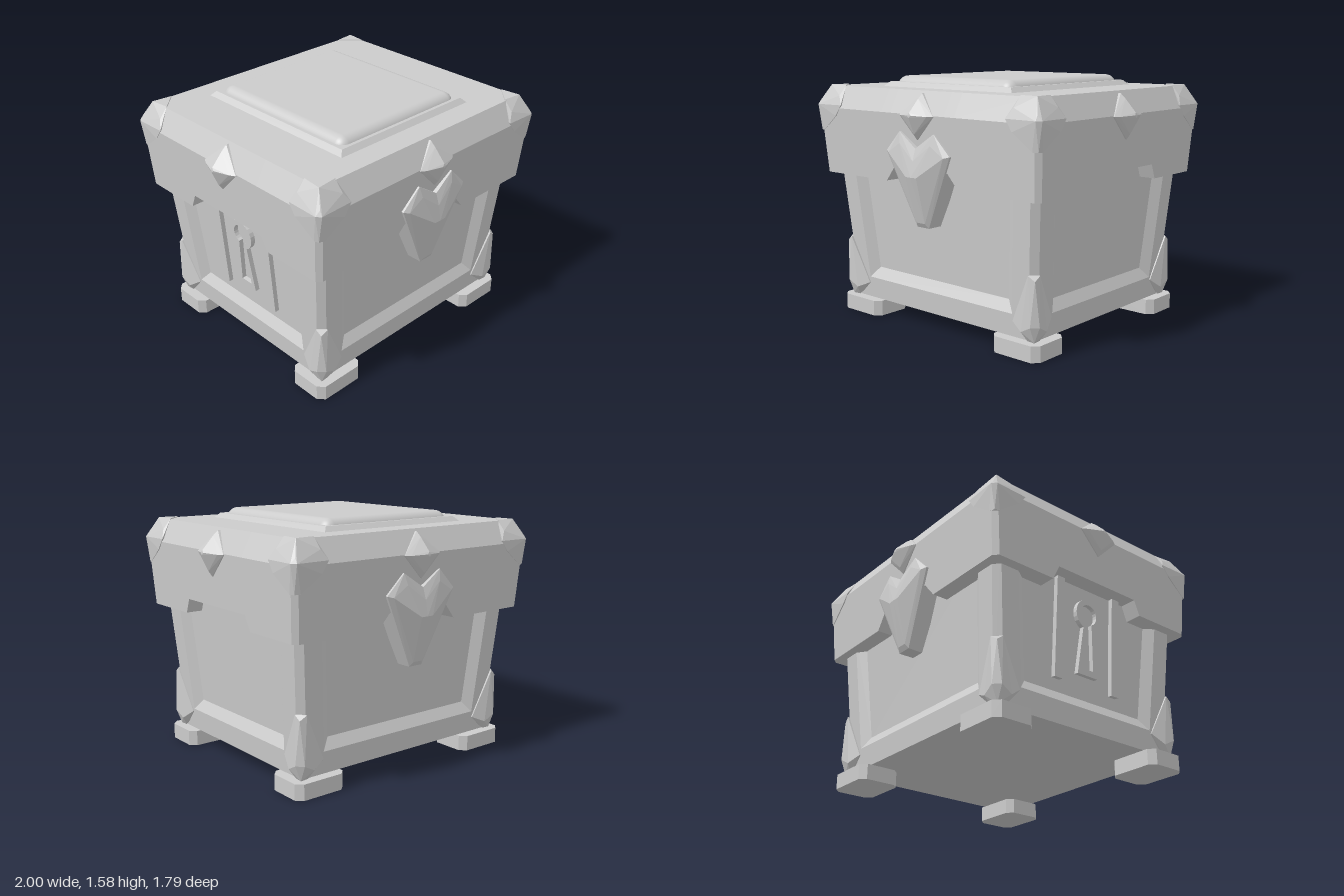
import * as THREE from 'three';
import { ConvexGeometry } from 'three/addons/geometries/ConvexGeometry.js';
import { RoundedBoxGeometry } from 'three/addons/geometries/RoundedBoxGeometry.js';

const material = new THREE.MeshStandardMaterial({ color: 0xcccccc });
const SIDES = [0, 1, 2, 3]; // front, +x, back, -x

// Point on side k: u runs to the right as seen from outside, n is the distance from the centre
const at = (k, u, y, n) => {
  const [x, z] = [[u, n], [n, -u], [-u, -n], [-n, u]][k];
  return new THREE.Vector3(x, y, z);
};

// Flat-shaded skin between successive rows of points
function loft(rows, closed = false) {
  const pos = [];
  const tri = (...pts) => pts.forEach((p) => pos.push(p.x, p.y, p.z));
  for (let r = 0; r + 1 < rows.length; r++) {
    const a = rows[r], b = rows[r + 1], n = a.length;
    for (let i = 0; i < (closed ? n : n - 1); i++) {
      const j = (i + 1) % n;
      tri(a[i], a[j], b[j]);
      tri(a[i], b[j], b[i]);
    }
  }
  const g = new THREE.BufferGeometry();
  g.setAttribute('position', new THREE.Float32BufferAttribute(pos, 3));
  g.computeVertexNormals();
  return g;
}

function add(parent, name, geometry) {
  const mesh = new THREE.Mesh(geometry, material);
  mesh.name = name;
  parent.add(mesh);
  return mesh;
}

function group(parent, name) {
  const g = new THREE.Group();
  g.name = name;
  parent.add(g);
  return g;
}

// Convex solid from [x, y, z] points, mirrored into every corner of the chest
function addCorners(parent, name, pts) {
  for (const sx of [-1, 1]) for (const sz of [-1, 1]) {
    add(parent, name, new ConvexGeometry(pts.map(([x, y, z]) => new THREE.Vector3(x * sx, y, z * sz))));
  }
}

// Flared body with a recessed panel on each side
function buildBody(parent) {
  const body = group(parent, 'body');
  const halfX = (y) => 0.78 + (y - 0.1) * 0.077;
  const halfZ = (y) => 0.675 + (y - 0.1) * 0.08;
  const base = 0.1, top = 1.1, chamfer = 0.04;
  for (const k of SIDES) {
    const width = (y, s) => (s % 2 ? halfZ(y) : halfX(y));
    const point = (sign, y, inset, depth, s = k) =>
      at(s, sign * (width(y, s) - inset), y, width(y, s + 1) - depth);
    const rim = (y, inset, depth) => [[-1, top], [-1, y], [1, y], [1, top]]
      .map(([sign, h]) => point(sign, h, inset, depth));
    const inner = rim(0.31, 0.23, 0.045);
    add(body, 'sideFrame', loft([rim(base, chamfer, 0), rim(0.24, 0.165, 0), inner]));
    add(body, 'sidePanel', loft([[inner[1], inner[2]], [inner[0], inner[3]]]));
    const next = (k + 1) % 4;
    add(body, 'cornerPost', loft([base, top].map((y) =>
      [point(1, y, chamfer, 0), point(-1, y, chamfer, 0, next)])));
  }
  const floor = add(body, 'floor', new THREE.BoxGeometry(1.5, 0.03, 1.29));
  floor.position.y = 0.116;
  const ring = SIDES.flatMap((k) => {
    const [u, n] = k % 2 ? [0.675, 0.78] : [0.78, 0.675];
    return [at(k, -u + chamfer, base, n), at(k, u - chamfer, base, n)];
  });
  add(body, 'underside', loft([ring.map(() => new THREE.Vector3(0, base, 0)), ring], true));
}

// Lid with notched skirt, sloped shoulder and flat top
function buildLid(parent) {
  const lid = group(parent, 'lid');
  const size = (y) => (y <= 1.37
    ? [0.91 + (y - 0.94) * 0.058, 0.80 + (y - 0.94) * 0.074]
    : [0.935 - (y - 1.37) * 0.536, 0.832 - (y - 1.37) * 0.536]);
  // each side: corner, four notch points, corner
  const ring = (yLow, yHigh, inset = 0) => SIDES.flatMap((k) => {
    const [outer, inner] = k % 2 ? [0.365, 0.32] : [0.31, 0.23];
    return [[-1, 0], [-outer, 0], [-inner, 1], [inner, 1], [outer, 0], [1, 0]].map(([u, raised]) => {
      const y = raised ? yHigh : yLow;
      const [w, d] = size(y);
      const half = (k % 2 ? d : w) - 0.03 - inset;
      return at(k, Math.abs(u) === 1 ? u * half : u, y, (k % 2 ? w : d) - inset);
    });
  });
  const topRing = ring(1.51, 1.51);
  const centre = topRing.map(() => new THREE.Vector3(0, 1.51, 0));
  add(lid, 'lidShell', loft(
    [ring(0.94, 1.035, 0.13), ring(0.94, 1.035), ring(1.37, 1.37), topRing, centre], true));

  // Raised frame and soft cushion on top
  const rect = (w, d, y) => SIDES.map((k) => (k % 2 ? at(k, -d, y, w) : at(k, -w, y, d)));
  add(lid, 'topFrame', loft([rect(0.55, 0.605, 1.505), rect(0.515, 0.57, 1.54), rect(0.48, 0.53, 1.54)], true));
  add(lid, 'topCushion', new RoundedBoxGeometry(1.0, 0.14, 1.11, 5, 0.068)).position.y = 1.508;
}

// Faceted gem on the lid edge of each side
function buildGems(parent) {
  for (const k of SIDES) {
    const n = k % 2 ? 0.105 : 0; // x sides stand further out
    const pts = [
      [0, 1.495, 0.72], [0, 1.22, 0.72], [-0.145, 1.365, 0.72], [0.145, 1.365, 0.72],
      [0, 1.495, 0.78], [0, 1.22, 0.828], [-0.145, 1.365, 0.836], [0.145, 1.365, 0.836],
      [0, 1.465, 0.815], [0, 1.255, 0.853], [-0.11, 1.365, 0.856], [0.11, 1.365, 0.856],
      [0, 1.385, 0.89], [0, 1.355, 0.895], [-0.015, 1.37, 0.894], [0.015, 1.37, 0.894],
    ];
    add(parent, 'lidGem', new ConvexGeometry(pts.map(([u, y, d]) => at(k, u, y, d + n))));
  }
}

// Shield-shaped clasp on front and back, made of two mirrored halves
function buildClasps(parent) {
  const half = [
    [0, 1.17, 0.69], [0.145, 1.265, 0.69], [0.27, 1.14, 0.69], [0.05, 0.68, 0.69], [0, 0.68, 0.69],
    [0, 1.17, 0.845], [0.145, 1.265, 0.835], [0.27, 1.14, 0.83], [0.05, 0.68, 0.79], [0, 0.68, 0.79],
    [0, 1.095, 0.87], [0.13, 1.195, 0.853], [0.235, 1.13, 0.85], [0.035, 0.71, 0.81], [0, 0.71, 0.81],
    [0.045, 1.0, 0.887], [0, 1.0, 0.889],
  ];
  for (const k of [0, 2]) {
    const clasp = group(parent, 'clasp');
    for (const s of [-1, 1]) {
      add(clasp, 'claspHalf', new ConvexGeometry(half.map(([u, y, n]) => at(k, u * s, y, n))));
    }
  }
}

// Keyhole plate and upright bars on the -x panel
function buildKeyhole(parent) {
  const lock = group(parent, 'keyhole');
  lock.position.x = -0.727;
  lock.rotation.set(0.077, -Math.PI / 2, 0, 'YXZ');
  const outline = (path, r, foot, bottom) => {
    path.absarc(0, 0.86, r, -1.15, Math.PI + 1.15, false);
    path.lineTo(-foot, bottom);
    path.lineTo(foot, bottom);
    path.closePath();
    return path;
  };
  const shape = outline(new THREE.Shape(), 0.1, 0.08, 0.46);
  shape.holes.push(outline(new THREE.Path(), 0.065, 0.045, 0.5));
  add(lock, 'keyholeRim', new THREE.ExtrudeGeometry(shape, { depth: 0.03, bevelEnabled: false, curveSegments: 10 }));
  for (const s of [-1, 1]) {
    add(lock, 'lockBar', new THREE.BoxGeometry(0.06, 0.66, 0.06)).position.set(s * 0.23, 0.72, 0);
  }
}

// Chamfered feet
function buildFeet(parent) {
  const c = 0.04, w = 0.177, d = 0.14;
  const pts = [];
  for (const sx of [-1, 1]) for (const sz of [-1, 1]) for (const y of [0, 0.1]) {
    pts.push([0.673 + sx * (w - c), y, 0.602 + sz * d], [0.673 + sx * w, y, 0.602 + sz * (d - c)]);
  }
  addCorners(group(parent, 'feet'), 'foot', pts);
}

export function createModel() {
  const chest = new THREE.Group();
  chest.name = 'chest';
  buildBody(chest);
  buildLid(chest);
  buildGems(chest);
  buildClasps(chest);
  buildKeyhole(chest);
  buildFeet(chest);

  // Faceted guards on the lid corners
  addCorners(group(chest, 'lidGuards'), 'lidGuard', [
    [0.74, 1.516, 0.75], [0.855, 1.516, 0.635], [0.87, 1.516, 0.765], [0.74, 1.45, 0.81],
    [0.91, 1.45, 0.635], [0.70, 1.39, 0.835], [0.94, 1.39, 0.6], [0.75, 1.32, 0.838],
    [0.942, 1.32, 0.65], [0.945, 1.39, 0.815], [0.92, 1.39, 0.842], [0.915, 1.42, 0.82],
    [0.885, 1.22, 0.826], [0.93, 1.22, 0.785], [0.92, 1.22, 0.815], [0.75, 1.38, 0.7],
  ]);

  // Tapered guards on the lower body corners
  addCorners(group(chest, 'baseGuards'), 'baseGuard', [
    [0.77, 0.5, 0.72], [0.82, 0.5, 0.67], [0.815, 0.47, 0.71], [0.77, 0.5, 0.66],
    [0.63, 0.2, 0.69], [0.63, 0.2, 0.66], [0.795, 0.22, 0.53], [0.76, 0.22, 0.53],
    [0.72, 0.16, 0.722], [0.827, 0.16, 0.615], [0.835, 0.2, 0.69], [0.795, 0.2, 0.73],
    [0.74, 0.1, 0.685], [0.79, 0.1, 0.635], [0.795, 0.1, 0.69],
  ]);
  return chest;
}
